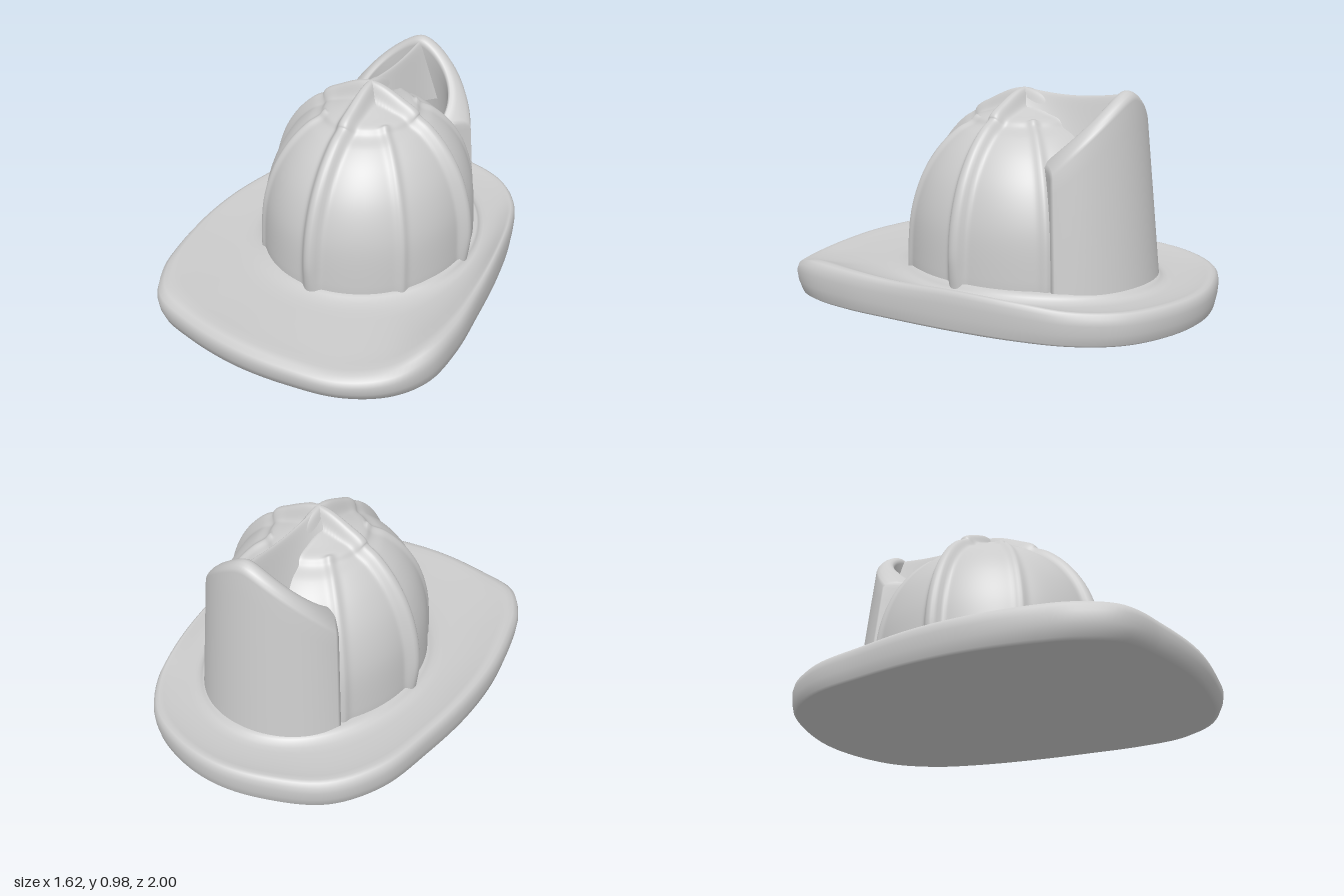
import * as THREE from 'three';
import { mergeVertices } from 'three/addons/utils/BufferGeometryUtils.js';

const CX = 0.1, CZ = -0.1, TURN = -0.33; // crown centre and heading
const { smoothstep, clamp, lerp } = THREE.MathUtils;

// Smooth surface from a rule f(i, j) -> [x, y, z] on a grid of rows
function grid(nu, nv, f) {
  const pos = [], idx = [];
  for (let i = 0; i <= nu; i++) for (let j = 0; j <= nv; j++) pos.push(...f(i, j));
  for (let i = 0; i < nu; i++) for (let j = 0; j < nv; j++) {
    const a = i * (nv + 1) + j, b = a + nv + 1;
    idx.push(a, b, b + 1, a, b + 1, a + 1);
  }
  let g = new THREE.BufferGeometry();
  g.setAttribute('position', new THREE.Float32BufferAttribute(pos, 3));
  g.setIndex(idx);
  g = mergeVertices(g, 1e-5);
  g.computeVertexNormals();
  return g;
}

// Crown plan radius at a local angle (0 = front)
function crownRadius(a) {
  const s = Math.sin(a), c = Math.cos(a), d = c > 0 ? 0.56 : 0.57;
  return 1 / Math.hypot(s / 0.505, c / d);
}

function brimGeometry() {
  // Edge of the brim: x, rim height, z
  const edge = [
    [0.11, 0.14, -1], [-0.16, 0.14, -0.965], [-0.37, 0.145, -0.81], [-0.53, 0.15, -0.55],
    [-0.66, 0.16, -0.29], [-0.75, 0.165, -0.03], [-0.8, 0.17, 0.24], [-0.81, 0.17, 0.42],
    [-0.76, 0.165, 0.61], [-0.6, 0.15, 0.74], [-0.34, 0.142, 0.88], [-0.08, 0.132, 0.96],
    [0.16, 0.125, 0.995], [0.37, 0.145, 0.95], [0.52, 0.185, 0.83], [0.62, 0.185, 0.61],
    [0.69, 0.175, 0.34], [0.76, 0.18, 0.03], [0.805, 0.165, -0.27], [0.805, 0.145, -0.5],
    [0.73, 0.14, -0.71], [0.56, 0.14, -0.87], [0.35, 0.14, -0.97],
  ];
  const curve = new THREE.CatmullRomCurve3(edge.map(p => new THREE.Vector3(...p)), true);
  const n = 160, pts = curve.getPoints(n);
  // Section: inset from edge (0) to crown (1), share of rim height, share of dish height
  const section = [
    [99, 0, 0], [0.09, 0, 0], [0.045, 0.06, 0], [0.012, 0.35, 0], [0, 0.65, 0], [0.02, 0.85, 0],
    [0.07, 0.97, 0], [0.13, 1, 0], [0.22, 0.95, 0.02], [0.36, 0.6, 0.37], [0.55, 0.25, 0.74],
    [0.75, 0, 1], [0.87, 0, 1.01], [0.95, 0, 1.06], [1.01, 0, 1.15], [1.07, 0, 1.28], [1.4, 0, 1.28],
  ];
  return grid(n, section.length - 1, (i, j) => {
    const p = pts[i], [k, rim, dish] = section[j];
    if (k === 99) return [CX, 0, CZ];
    const dx = p.x - CX, dz = p.z - CZ, len = Math.hypot(dx, dz);
    const local = Math.atan2(dx, dz) - TURN;
    const back = Math.max(0, -Math.cos(local));
    const inner = crownRadius(local) + 0.02 + 0.08 * back ** 3;
    const r = lerp(len, inner, k) / len;
    return [CX + dx * r, p.y * rim + (0.127 - 0.008 * back) * dish, CZ + dz * r];
  });
}

function crownGeometry() {
  const profile = new THREE.CatmullRomCurve3([
    [1, 0.12], [1, 0.2], [0.97, 0.4], [0.88, 0.56], [0.74, 0.685], [0.57, 0.775], [0.455, 0.81],
    [0.41, 0.835], [0.3, 0.857], [0.12, 0.888], [0, 0.9],
  ].map(([r, y]) => new THREE.Vector3(r, y, 0)));
  const n = 320, m = 64;
  return grid(n, m, (i, j) => {
    const a = (i % n) / n * Math.PI * 2, t = j / m;
    const p = profile.getPoint(t), tan = profile.getTangent(t);
    const r = p.x * crownRadius(a);
    // Four broad ribs, with four thin ribs between them that stop at the cap
    const across = k => { // distance from the nearest rib line
      const q = Math.PI / 2, d = a - k - Math.round((a - k) / q) * q;
      return Math.abs(Math.sin(d)) * r;
    };
    const height = 0.022 + 0.02 * smoothstep(p.y, 0.1, 0.3) + 0.028 * (1 - smoothstep(p.x, 0.05, 0.55));
    const broad = height * Math.exp(-((across(0) / 0.036) ** 3));
    const thin = p.x > 0.4 ? 0.014 * Math.exp(-((across(Math.PI / 4) / 0.022) ** 2)) : 0;
    const h = Math.max(broad, thin);
    const out = j === m ? 0 : r + h * Math.max(0, tan.y) * Math.min(1, p.x * 3);
    const y = p.y - h * Math.min(0, tan.x);
    return [Math.sin(a) * out, j === m ? 0.97 : y, Math.cos(a) * out];
  });
}

// Upright shield wrapped around the back of the crown, its inner wall sinking into the dome
function shieldGeometry() {
  const n = 64;
  return grid(n + 2, 24, (i, j) => {
    const u = clamp((i - 1) / n, 0, 1) * 2 - 1, w = Math.abs(u);
    const a = Math.PI + u * 0.75;
    const top = 1.0 - 0.33 * Math.pow(w * w + 0.008, 0.64);
    const thick = 0.08 + 0.13 * w ** 4;
    const radius = y => 0.66 - 0.09 * w * w - 0.085 * (y - 0.1) / 0.87;
    const lip = top - 0.04;
    let y, r;
    if (j <= 8) { // outer wall
      y = lerp(0.1, lip, j / 8);
      r = radius(y);
    } else if (j <= 16) { // rounded lip
      const b = (j - 8) / 8 * Math.PI;
      y = lip + 0.04 * Math.sin(b);
      r = radius(y) - thick * (1 - Math.cos(b)) / 2;
    } else { // inner wall
      y = lerp(lip, 0.35, (j - 16) / 8);
      r = radius(y) - thick;
    }
    if (i === 0 || i === n + 2) r = radius(y) - thick; // end faces turn in to the dome
    return [Math.sin(a) * r, y, Math.cos(a) * r];
  });
}

// Web that joins the crown's peak to the shield
function webGeometry() {
  const n = 24, m = 20;
  return grid(n, m, (i, j) => {
    const t = i / n, s = 1 - 2 * j / m;
    const top = 0.965 - 0.02 * Math.sin(Math.PI * t) + 0.005 * t;
    const flare = 1 + 0.5 * t ** 4;
    return [(0.035 * s + 0.045 * s ** 3) * flare, top - 0.3 * s * s * (0.3 + 0.7 * t), -0.02 - 0.51 * t];
  });
}

export function createModel() {
  const model = new THREE.Group();
  model.name = 'fireHelmet';
  const mat = new THREE.MeshStandardMaterial({ color: 0xcccccc });
  const thinMat = new THREE.MeshStandardMaterial({ color: 0xcccccc, side: THREE.DoubleSide });
  const add = (parent, name, geo, material) => {
    const mesh = new THREE.Mesh(geo, material);
    mesh.name = name;
    parent.add(mesh);
  };

  add(model, 'brim', brimGeometry(), mat);

  const top = new THREE.Group();
  top.name = 'crownAssembly';
  top.position.set(CX, 0, CZ);
  top.rotation.y = TURN;
  add(top, 'ribbedCrown', crownGeometry(), thinMat);
  add(top, 'backShield', shieldGeometry(), thinMat);
  add(top, 'shieldWeb', webGeometry(), thinMat);
  model.add(top);
  return model;
}
